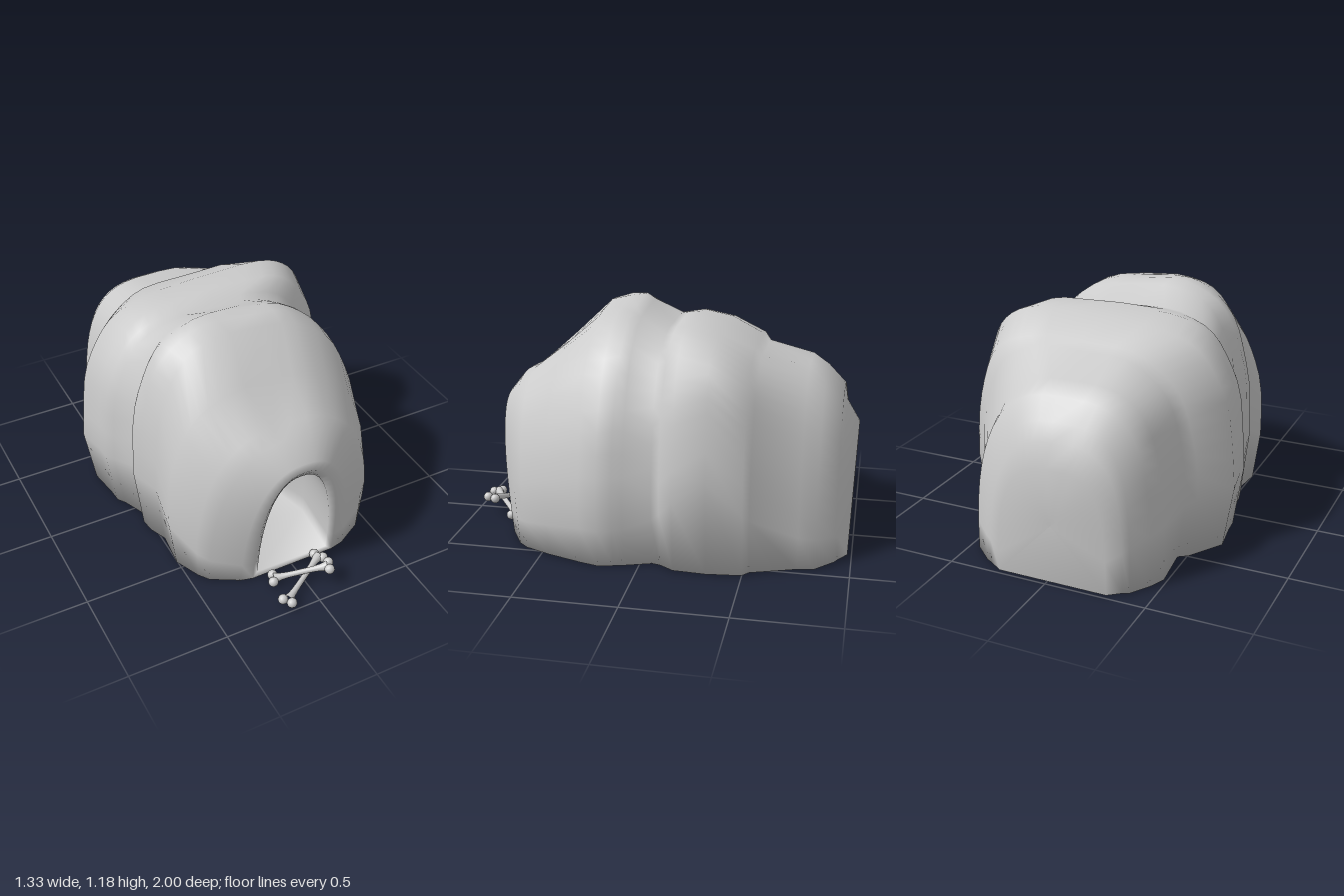
import * as THREE from 'three';

const stone = new THREE.MeshStandardMaterial({ color: 0xcccccc });
const boneMat = new THREE.MeshStandardMaterial({ color: 0xcccccc });
const V = (x, y, z) => new THREE.Vector3(x, y, z);
const { smoothstep } = THREE.MathUtils;
const SEG = 28;

// Rock cross-sections from the lip to the back: [z, left x, right x, height]
const SECTIONS = [
  [0.73, -0.22, 0.23, 0.665],
  [0.715, -0.28, 0.3, 0.7],
  [0.64, -0.42, 0.44, 0.805],
  [0.59, -0.47, 0.5, 0.84],
  [0.46, -0.55, 0.58, 0.98],
  [0.28, -0.53, 0.645, 1.15],
  [0.19, -0.57, 0.67, 1.165],
  [0.12, -0.58, 0.65, 1.17],
  [0.07, -0.55, 0.635, 1.15],
  [-0.06, -0.61, 0.585, 1.085],
  [-0.1, -0.64, 0.595, 1.095],
  [-0.17, -0.645, 0.645, 1.115],
  [-0.33, -0.67, 0.655, 1.095],
  [-0.5, -0.55, 0.635, 1.02],
  [-0.53, -0.5, 0.59, 0.98],
  [-0.75, -0.485, 0.465, 0.92],
  [-0.83, -0.45, 0.45, 0.87],
  [-0.92, -0.39, 0.35, 0.78],
  [-0.935, -0.36, 0.32, 0.69],
  [-0.98, -0.3, 0.25, 0.59],
];

// Gaussian falloff used to vary the rock along its length
const around = (z, centre, width) => Math.exp(-(((z - centre) / width) ** 2));

// One arch from left x over the top to right x; a larger square value gives a boxier shoulder
function arch(z, xL, xR, h, y0, squareL, squareR, lean) {
  const c = (xL + xR) / 2, w = (xR - xL) / 2;
  return Array.from({ length: SEG + 1 }, (_, i) => {
    const a = Math.PI * (1 - i / SEG);
    const cos = Math.cos(a), sin = Math.max(0, Math.sin(a));
    const n = cos < 0 ? squareL : squareR;
    const x = Math.sign(cos) * Math.abs(cos) ** (2 / n);
    const v = sin ** (2 / n);
    return V(c + w * x, y0 + (h - y0) * v, z + lean * v);
  });
}

// Outer arch: front dome tilted down to the right, boxy right shoulder on the rear hump,
// drawn-in feet and shallow lumps
function rockArch([z, xL, xR, h]) {
  const hump = around(z, -0.33, 0.2);
  const tilt = 0.03 * hump - 0.06 * around(z, 0.2, 0.2);
  const lean = 0.07 * smoothstep(z, 0.4, 0.72) - 0.02 * smoothstep(-z, 0.94, 0.98);
  const squareL = 3.6 - 1.2 * smoothstep(z, 0.35, 0.7);
  const row = arch(z, xL, xR, h, 0.012, squareL, 2.5 + 2.7 * hump, lean);
  const body = smoothstep(0.7 - Math.abs(z), 0, 0.2);
  for (const p of row) {
    const rise = (p.y - 0.012) / h;
    p.y += tilt * rise * (2 * p.x - xL - xR) / (xR - xL);
    p.x *= 1 - 0.08 * body * Math.max(0, 1 - rise / 0.3);
    const lump = 0.008 * body * Math.sin(p.x * 17 + p.z * 9) * Math.sin(p.y * 13 + p.z * 15);
    p.addScaledVector(V(p.x, p.y - 0.3, 0).normalize(), lump * rise);
  }
  return row;
}

// Hollow, from its rounded deep end out to the narrower doorway
function hollowArches() {
  return [0, 0.15, 0.5, 1].map((t) => {
    const belly = Math.sin(Math.PI * t);
    const w = 0.13 + 0.06 * t + 0.06 * belly;
    return arch(0.15 + 0.57 * t, -w, w + 0.01, 0.46 + 0.16 * t + 0.08 * belly, 0.035, 2.4, 2.4, 0.05 * t);
  });
}

// A row gathered to one point, to close an end
function closeEnd(row, y) {
  const centre = V((row[0].x + row[SEG].x) / 2, y, row[0].z);
  return row.map(() => centre);
}

// Skin a list of closed loops of points with smooth normals
function loft(rows) {
  const n = rows[0].length, index = [];
  for (let k = 0; k < rows.length - 1; k++) {
    for (let i = 0; i < n; i++) {
      const a = k * n + i, b = k * n + ((i + 1) % n);
      index.push(a, b, b + n, a, b + n, a + n);
    }
  }
  const g = new THREE.BufferGeometry().setFromPoints(rows.flat());
  g.setIndex(index);
  g.computeVertexNormals();
  return g;
}

function addMesh(parent, name, geometry, material) {
  const mesh = new THREE.Mesh(geometry, material);
  mesh.name = name;
  parent.add(mesh);
  return mesh;
}

// A shaft with a pair of knuckles at each end
function bone(name, from, to) {
  const group = new THREE.Group();
  group.name = name;
  const dir = to.clone().sub(from), length = dir.length();
  const profile = [];
  for (let t = -1; t <= 1.01; t += 0.25) {
    profile.push(new THREE.Vector2(0.014 + 0.012 * t ** 4, t * length / 2));
  }
  addMesh(group, 'shaft', new THREE.LatheGeometry(profile, 12), boneMat);
  for (const end of [-1, 1]) {
    for (const side of [-1, 1]) {
      const knuckle = addMesh(group, 'knuckle', new THREE.SphereGeometry(0.025, 12, 8), boneMat);
      knuckle.position.set(0, end * (length / 2 + 0.006), side * 0.024);
    }
  }
  // long axis along the bone, knuckles spread level with the ground
  const y = dir.normalize();
  const z = new THREE.Vector3().crossVectors(y, V(0, 1, 0)).normalize();
  const x = new THREE.Vector3().crossVectors(y, z);
  group.quaternion.setFromRotationMatrix(new THREE.Matrix4().makeBasis(x, y, z));
  group.position.copy(from).add(to).multiplyScalar(0.5);
  return group;
}

export function createModel() {
  const model = new THREE.Group();
  model.name = 'cave';

  // Hollow with its floor, lip, outer rock and underside as one continuous skin
  const hollow = hollowArches();
  const rock = SECTIONS.map(rockArch);
  const rows = [closeEnd(hollow[0], 0.25), ...hollow, ...rock, closeEnd(rock.at(-1), 0.3)];
  addMesh(model, 'rockShell', loft(rows), stone);

  // Crossed bones on the ground before the entrance
  model.add(bone('lowerBone', V(-0.15, 0.04, 0.955), V(0.13, 0.035, 0.765)));
  model.add(bone('upperBone', V(-0.14, 0.042, 0.8), V(0.1, 0.105, 0.9)));
  return model;
}
